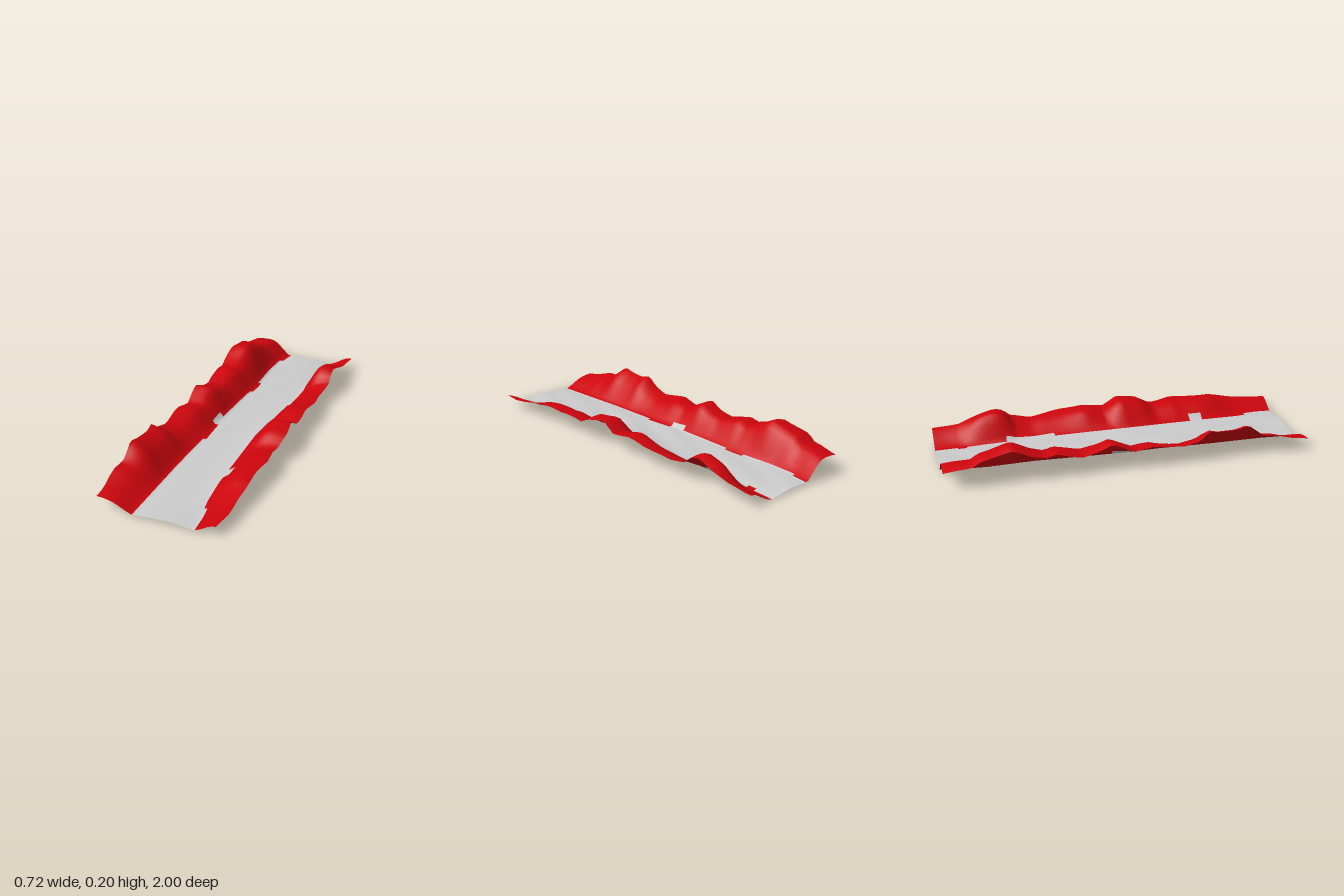
import * as THREE from 'three';

const { lerp, smoothstep } = THREE.MathUtils;

// Linear lookup in a list of [z, value] pairs
function lookup(table, z) {
  if (z <= table[0][0]) return table[0][1];
  for (let i = 1; i < table.length; i++) {
    const [z0, v0] = table[i - 1], [z1, v1] = table[i];
    if (z <= z1) return v0 + (v1 - v0) * (z - z0) / (z1 - z0);
  }
  return table[table.length - 1][1];
}

// Cross-profiles of a bank from foot (t = 0) to crest (t = 1)
const steep = [[0, 0], [0.12, 0.27], [0.33, 0.74], [0.45, 0.95], [0.6, 1.01], [0.85, 1], [1, 0.95]];
const straight = [[0, 0], [0.15, 0.15], [0.35, 0.46], [0.55, 0.73], [0.8, 0.92], [1, 1]];
const gentle = [[0, 0], [0.2, 0.12], [0.4, 0.36], [0.6, 0.68], [0.8, 0.9], [1, 1]];

// Each bank: outer edge x, foot x and y, crest height, its soft profile and
// how far that replaces the steep one; notches shift the colour line by some
// columns (+ towards the floor) between two z values
const westBank = {
  edge: [[-1, -0.27], [-0.9, -0.295], [-0.6, -0.308], [-0.2, -0.312], [0.2, -0.333], [0.6, -0.345], [0.76, -0.358], [1, -0.36]],
  foot: [[-1, -0.062], [-0.9, -0.085], [-0.75, -0.1], [-0.5, -0.1], [-0.3, -0.117], [0, -0.14], [0.2, -0.14], [0.5, -0.157], [1, -0.17]],
  footY: [[-1, 0.02], [0, 0.018], [1, 0.009]],
  crest: [[-1, 0.105], [-0.92, 0.12], [-0.85, 0.13], [-0.81, 0.162], [-0.74, 0.178], [-0.64, 0.2], [-0.55, 0.158],
    [-0.47, 0.135], [-0.42, 0.15], [-0.28, 0.112], [-0.19, 0.135], [-0.12, 0.17], [-0.07, 0.145], [0, 0.108], [0.1, 0.13],
    [0.27, 0.105], [0.36, 0.13], [0.42, 0.18], [0.47, 0.166], [0.57, 0.17], [0.64, 0.187], [0.73, 0.118], [0.8, 0.115],
    [0.9, 0.085], [1, 0.068]],
  soft: straight,
  softness: z => smoothstep(z, -0.3, 0.5),
  phase: 1,
  notches: [[-1, -0.89, 1], [-0.55, -0.43, 1], [-0.07, 0.02, -1], [0.02, 0.2, 1]],
};
const eastBank = {
  edge: [[-1, 0.355], [-0.6, 0.347], [-0.45, 0.335], [-0.25, 0.342], [0, 0.328], [0.2, 0.33], [0.33, 0.312], [0.45, 0.32], [0.6, 0.302], [0.72, 0.304], [1, 0.28]],
  foot: [[-1, 0.205], [-0.87, 0.195], [-0.6, 0.18], [-0.33, 0.165], [0, 0.135], [0.1, 0.125], [0.6, 0.122], [0.76, 0.13], [0.9, 0.15], [1, 0.153]],
  footY: [[-1, 0.004], [-0.5, 0.02], [0.1, 0.037], [0.6, 0.03], [1, 0.01]],
  crest: [[-1, 0.072], [-0.92, 0.078], [-0.85, 0.085], [-0.71, 0.14], [-0.64, 0.16], [-0.59, 0.145], [-0.55, 0.107], [-0.44, 0.082],
    [-0.28, 0.105], [-0.13, 0.123], [0, 0.105], [0.08, 0.16], [0.2, 0.138], [0.28, 0.095], [0.4, 0.115], [0.65, 0.107], [0.8, 0.075],
    [0.9, 0.063], [1, 0.062]],
  soft: gentle,
  softness: (z, crest) => 1 - smoothstep(crest, 0.07, 0.135),
  phase: 3,
  notches: [[-0.87, -0.82, 1], [-0.6, -0.33, -1], [0.48, 0.55, -2], [0.82, 1, -1]],
};

const BANK = 10, FLOOR = 14, ROWS = 80, COLS = 2 * BANK + FLOOR;

function bankPoint(bank, t, z) {
  const footY = lookup(bank.footY, z), crest = lookup(bank.crest, z);
  const rise = lerp(lookup(steep, t), lookup(bank.soft, t), bank.softness(z, crest));
  const fold = 0.004 * Math.sin(z * 19 + bank.phase) * Math.sin(Math.PI * t);
  return [
    lerp(lookup(bank.foot, z), lookup(bank.edge, z), t) + 0.004 * t * Math.sin(z * 27 + bank.phase),
    footY + (crest - footY) * rise + fold,
  ];
}

// Point of the strip at column i
function stripPoint(i, z) {
  if (i < BANK) return bankPoint(westBank, 1 - i / BANK, z);
  if (i > BANK + FLOOR) return bankPoint(eastBank, (i - BANK - FLOOR) / BANK, z);
  const s = (i - BANK) / FLOOR;
  const a = bankPoint(westBank, 0, z), b = bankPoint(eastBank, 0, z);
  const blend = (2 * s - 1) ** 2;
  const bump = 0.002 * Math.sin(z * 15 + s * 9) * (1 - blend);
  return [lerp(a[0], b[0], s), lerp(0.019, s < 0.5 ? a[1] : b[1], blend) + bump];
}

// Number of columns a bank's colour covers at z
function paintedColumns(bank, z) {
  const notch = bank.notches.find(([start, end]) => z >= start && z < end);
  return BANK + (notch ? notch[2] : 0);
}

export function createModel() {
  const positions = [], floorFaces = [], westFaces = [], eastFaces = [];
  for (let j = 0; j <= ROWS; j++) {
    const z = -1 + 2 * j / ROWS;
    for (let i = 0; i <= COLS; i++) {
      const [x, y] = stripPoint(i, z);
      // The short ends are cut slightly askew
      const skew = z < 0 ? 0.018 * i / COLS : -0.018 * (1 - i / COLS);
      positions.push(x, y, z + skew * Math.abs(z));
    }
  }
  // Sort each cell into floor or bank by its column
  for (let j = 0; j < ROWS; j++) {
    const z = -1 + (2 * j + 1) / ROWS;
    const west = paintedColumns(westBank, z), east = COLS - paintedColumns(eastBank, z);
    for (let i = 0; i < COLS; i++) {
      const a = j * (COLS + 1) + i, b = a + COLS + 1;
      const faces = i < west ? westFaces : i >= east ? eastFaces : floorFaces;
      faces.push(a, b, a + 1, a + 1, b, b + 1);
    }
  }
  // Normals come from the whole sheet so that the parts join smoothly
  const sheet = new THREE.BufferGeometry();
  sheet.setAttribute('position', new THREE.Float32BufferAttribute(positions, 3));
  sheet.setIndex([...floorFaces, ...westFaces, ...eastFaces]);
  sheet.computeVertexNormals();

  const grey = new THREE.MeshStandardMaterial({ color: 0xcccccc, side: THREE.DoubleSide });
  const red = new THREE.MeshStandardMaterial({ color: 0xcc050c, side: THREE.DoubleSide });
  const group = new THREE.Group();
  group.name = 'valleyStrip';
  const addPart = (name, faces, material) => {
    const geometry = sheet.clone();
    geometry.setIndex(faces);
    const mesh = new THREE.Mesh(geometry, material);
    mesh.name = name;
    group.add(mesh);
  };
  addPart('valleyFloor', floorFaces, grey);
  addPart('rightBank', westFaces, red); // on -x, the model's own right
  addPart('leftBank', eastFaces, red);
  return group;
}
